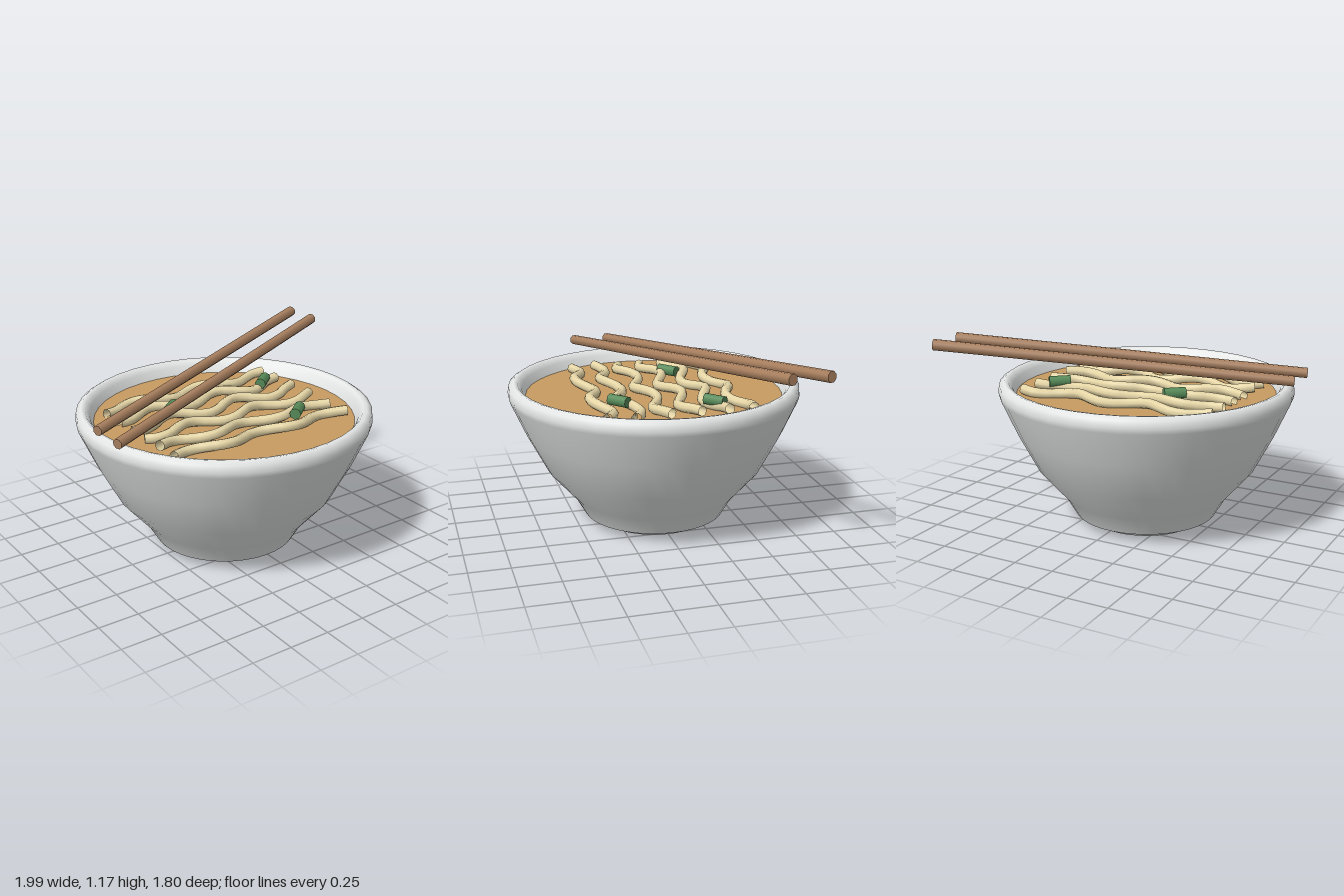
import * as THREE from 'three';

const mat = (name, color) => {
  const m = new THREE.MeshStandardMaterial({ color });
  m.name = name;
  return m;
};

export function createModel() {
  const ceramic = mat('ceramic', 0xe9ebeb);
  const broth = mat('broth', 0xc99c62);
  const noodle = mat('noodle', 0xe8d8a8);
  noodle.side = THREE.DoubleSide;
  const wood = mat('wood', 0xa9805f);
  const green = mat('scallion green', 0x568a58);

  const model = new THREE.Group();
  model.name = 'noodleBowl';
  const add = (parent, name, geometry, material, x = 0, y = 0, z = 0) => {
    const mesh = new THREE.Mesh(geometry, material);
    mesh.name = name;
    mesh.position.set(x, y, z);
    parent.add(mesh);
    return mesh;
  };
  const lathe = (pts) => new THREE.LatheGeometry(pts.map(([r, y]) => new THREE.Vector2(r, y)), 40);

  // Bowl: flared wall with a rolled lip, flat underside and foot
  const bowl = new THREE.Group();
  bowl.name = 'bowl';
  bowl.position.x = -0.07;
  model.add(bowl);
  add(bowl, 'bowlWall', lathe([
    [0.44, 0.05], [0.51, 0.17], [0.675, 0.36], [0.8, 0.6], [0.893, 0.81], [0.9, 0.84],
    [0.895, 0.885], [0.865, 0.905], [0.84, 0.9], [0.815, 0.87], [0.79, 0.81],
  ]), ceramic);
  add(bowl, 'bowlUnderside', lathe([[0.3, 0.05], [0.44, 0.05]]), ceramic);
  add(bowl, 'foot', new THREE.CylinderGeometry(0.385, 0.34, 0.05, 40), ceramic, 0, 0.025);
  add(bowl, 'broth', new THREE.CircleGeometry(0.793, 40).rotateX(-Math.PI / 2), broth, 0, 0.82);

  // Wavy noodles: row centre z and the x of one crest towards the back
  const rows = [
    [-0.41, -0.46], [-0.25, -0.42], [-0.085, -0.37],
    [0.08, -0.33], [0.245, -0.085], [0.405, -0.1],
  ];
  const noodles = new THREE.Group();
  noodles.name = 'noodles';
  model.add(noodles);
  rows.forEach(([z, crest], row) => {
    const pts = [];
    for (let i = 0; i <= 16; i++) {
      const x = -0.68 + (1.22 * i) / 16;
      const a = ((x - crest) / 0.47) * Math.PI * 2;
      pts.push(new THREE.Vector3(x, 0.85 + 0.01 * Math.sin(a + row), z - 0.042 * Math.cos(a)));
    }
    const path = new THREE.CatmullRomCurve3(pts);
    add(noodles, 'noodle', new THREE.TubeGeometry(path, 32, 0.031, 8), noodle);
  });

  // Cylinder laid between two points
  const rod = (name, a, b, r0, r1, sides, material) => {
    const from = new THREE.Vector3(...a), to = new THREE.Vector3(...b);
    const dir = to.clone().sub(from);
    const mesh = add(model, name, new THREE.CylinderGeometry(r1, r0, dir.length(), sides), material);
    mesh.position.copy(from).add(to).multiplyScalar(0.5);
    mesh.quaternion.setFromUnitVectors(new THREE.Vector3(0, 1, 0), dir.normalize());
  };

  // Scallion pieces
  for (const [x, z] of [[0.26, 0.3], [0.4, -0.245], [-0.345, -0.17]]) {
    rod('scallion', [x - 0.05, 0.876, z + 0.042], [x + 0.05, 0.876, z - 0.042], 0.035, 0.035, 8, green);
  }

  // Pair of chopsticks resting across the bowl
  for (const z of [0.095, 0.32]) {
    rod('chopstick', [-0.985, 0.967, z], [0.985, 1.135, z - 0.805], 0.031, 0.034, 8, wood);
  }
  return model;
}
